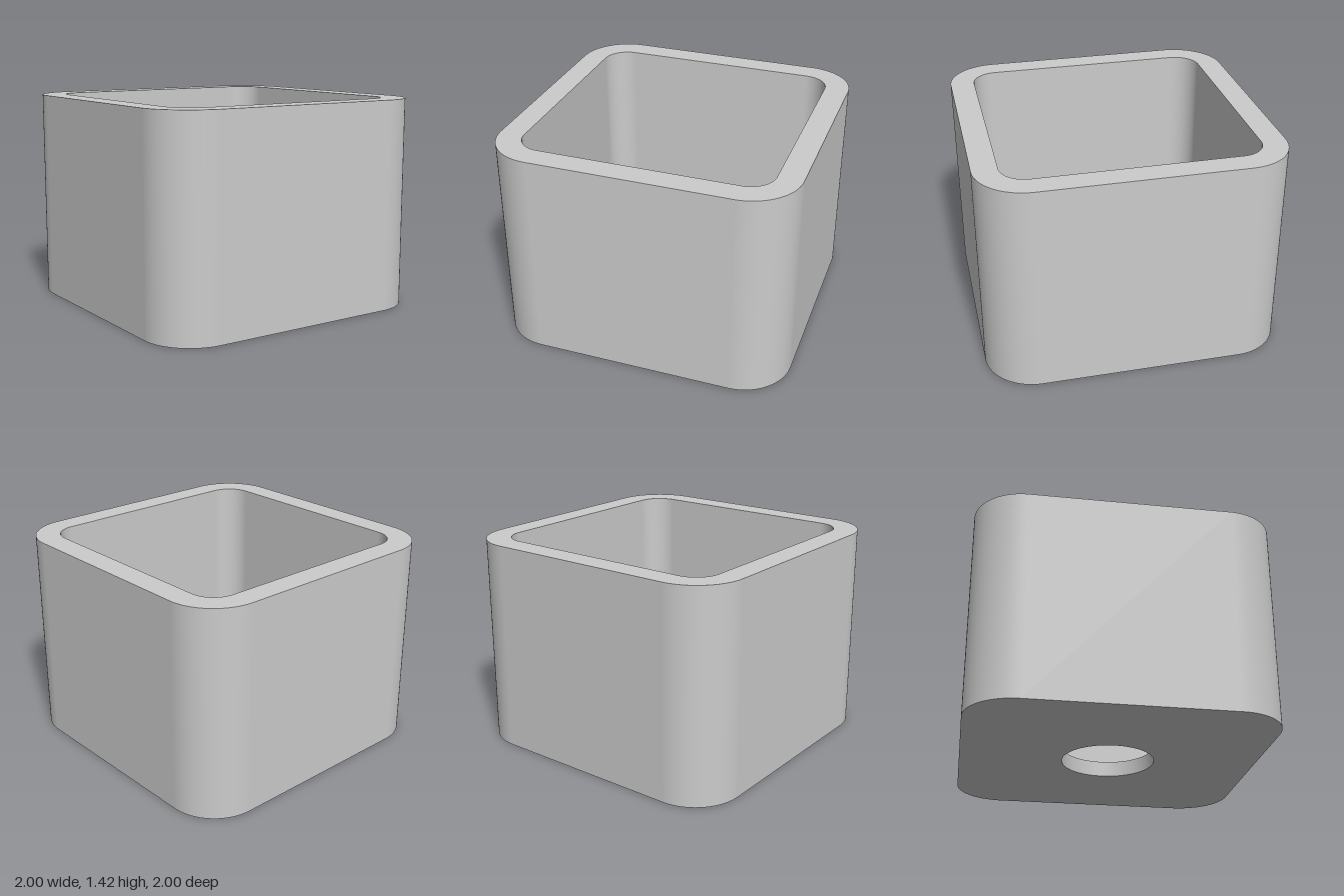
import * as THREE from 'three';

const HEIGHT = 1.42, FLOOR = 0.105, SEGMENTS = 16;

// Square outline with rounded corners, counter-clockwise
function roundedSquare(half, radius) {
  const shape = new THREE.Shape(), c = half - radius;
  [[1, 1], [-1, 1], [-1, -1], [1, -1]].forEach(([sx, sy], i) =>
    shape.absarc(sx * c, sy * c, radius, i * Math.PI / 2, (i + 1) * Math.PI / 2, false));
  shape.closePath();
  return shape;
}

// Upright wall along an outline, facing outward or inward
function wallGeometry(path, y0, y1, inward) {
  const pts = path.getPoints(SEGMENTS);
  if (pts[0].distanceTo(pts[pts.length - 1]) < 1e-6) pts.pop();
  const n = pts.length, positions = [], index = [];
  pts.forEach((p, i) => {
    positions.push(p.x, y0, -p.y, p.x, y1, -p.y);
    const a = 2 * i, b = 2 * ((i + 1) % n);
    if (inward) index.push(a, b + 1, b, a, a + 1, b + 1);
    else index.push(a, b, b + 1, a, b + 1, a + 1);
  });
  const geometry = new THREE.BufferGeometry();
  geometry.setAttribute('position', new THREE.Float32BufferAttribute(positions, 3));
  geometry.setIndex(index);
  geometry.computeVertexNormals();
  return geometry;
}

// Flat face with a hole, facing up or down
function faceGeometry(outline, hole, y, up) {
  const shape = outline.clone();
  shape.holes.push(hole);
  return new THREE.ShapeGeometry(shape, SEGMENTS)
    .rotateX(up ? -Math.PI / 2 : Math.PI / 2)
    .translate(0, y, 0);
}

export function createModel() {
  const group = new THREE.Group();
  group.name = 'squarePot';
  const material = new THREE.MeshStandardMaterial({ color: 0xcccccc });
  const add = (name, geometry) => {
    const mesh = new THREE.Mesh(geometry, material);
    mesh.name = name;
    group.add(mesh);
  };

  const outer = roundedSquare(1, 0.335);
  const inner = roundedSquare(0.835, 0.17);
  const drain = new THREE.Shape().absarc(0, 0, 0.313, 0, Math.PI * 2, false);

  // Walls and rim
  add('outerWall', wallGeometry(outer, 0, HEIGHT, false));
  add('innerWall', wallGeometry(inner, FLOOR, HEIGHT, true));
  add('rim', faceGeometry(outer, inner, HEIGHT, true));

  // Floor with its round drain hole
  add('floorTop', faceGeometry(inner, drain, FLOOR, true));
  add('underside', faceGeometry(outer, drain, 0, false));
  add('drainHole', wallGeometry(drain, 0, FLOOR, true));
  return group;
}
